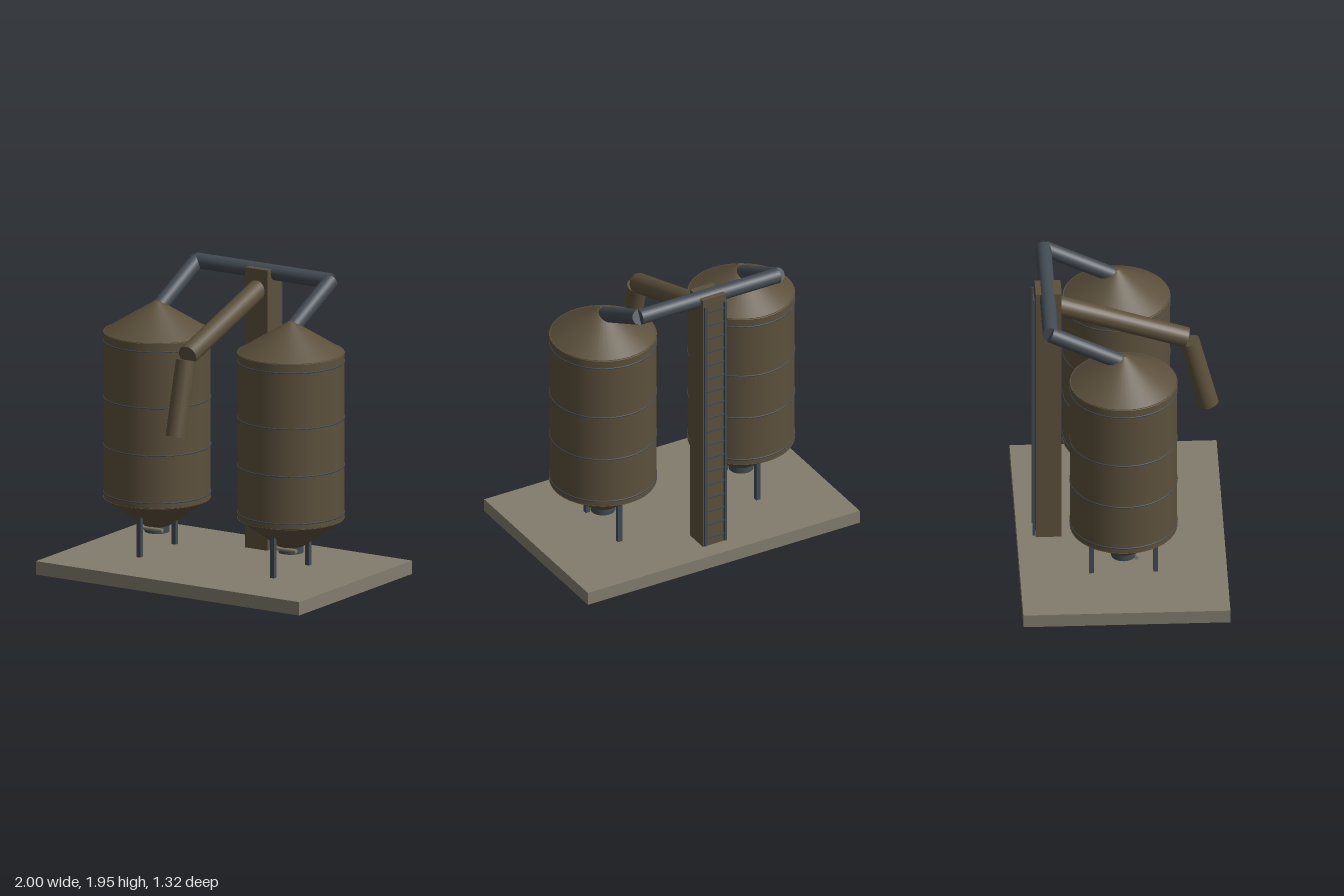
import * as THREE from 'three';

const mat = (name, color) => {
  const m = new THREE.MeshStandardMaterial({ color });
  m.name = name;
  return m;
};

export function createModel() {
  const root = new THREE.Group();
  root.name = 'twinSilos';
  const brown = mat('weathered brown', 0x5c503c);
  const steel = mat('dark steel', 0x424a52);
  const concrete = mat('concrete grey', 0x827c6d);

  const add = (parent, name, geo, material, x = 0, y = 0, z = 0) => {
    const m = new THREE.Mesh(geo, material);
    m.name = name;
    m.position.set(x, y, z);
    parent.add(m);
    return m;
  };
  const box = (parent, name, w, h, d, material, x, y, z) =>
    add(parent, name, new THREE.BoxGeometry(w, h, d), material, x, y, z);

  // Straight capped pipe between two points
  const pipe = (parent, name, a, b, r, material) => {
    const from = new THREE.Vector3(...a), to = new THREE.Vector3(...b);
    const dir = to.clone().sub(from);
    const m = add(parent, name, new THREE.CylinderGeometry(r, r, dir.length(), 24), material);
    m.position.copy(from).addScaledVector(dir, 0.5);
    m.quaternion.setFromUnitVectors(new THREE.Vector3(0, 1, 0), dir.normalize());
    return m;
  };

  // Ground slab
  box(root, 'baseSlab', 2, 0.088, 1.32, concrete, 0, 0.044, 0);

  // Silos with their legs, outlets and feed pipes
  for (const side of [-1, 1]) {
    const silo = new THREE.Group();
    silo.name = side > 0 ? 'leftSilo' : 'rightSilo';
    silo.position.x = side * 0.508;
    root.add(silo);

    add(silo, 'tank', new THREE.CylinderGeometry(0.341, 0.341, 1.09, 48), brown, 0, 0.985, 0);
    add(silo, 'roofCone', new THREE.CylinderGeometry(0.02, 0.344, 0.2, 48), brown, 0, 1.625, 0);
    add(silo, 'hopperCone', new THREE.CylinderGeometry(0.344, 0.085, 0.185, 48), brown, 0, 0.3525, 0);
    add(silo, 'outlet', new THREE.CylinderGeometry(0.08, 0.08, 0.06, 24), steel, 0, 0.245, 0);
    pipe(silo, 'gateBar', [-0.093, 0.247, 0.08], [0.093, 0.247, 0.08], 0.013, concrete);

    // Hoops around the tank
    for (const y of [0.48, 0.79, 1.102, 1.47]) {
      add(silo, 'hoop', new THREE.TorusGeometry(0.341, 0.005, 6, 48), steel, 0, y, 0).rotation.x = Math.PI / 2;
    }
    // Legs run up into the hopper
    for (const z of [-0.205, 0.205]) box(silo, 'leg', 0.03, 0.29, 0.03, steel, 0, 0.23, z);

    pipe(silo, 'feedPipe', [0, 1.895, -0.465], [0, 1.67, 0], 0.05, steel);
    pipe(root, 'crossPipe', [0, 1.895, -0.465], [side * 0.508, 1.895, -0.465], 0.05, steel);
  }

  // Elevator tower
  box(root, 'tower', 0.17, 1.837, 0.165, brown, 0, 1.0065, -0.458);

  // Ladder on the back of the tower
  const ladder = new THREE.Group();
  ladder.name = 'ladder';
  root.add(ladder);
  for (const x of [-0.073, 0.073]) box(ladder, 'rail', 0.016, 1.78, 0.016, steel, x, 0.99, -0.553);
  for (let i = 0; i < 18; i++) {
    box(ladder, 'rung', 0.14, 0.009, 0.009, steel, 0, 0.15 + i * 0.099, -0.55);
  }

  // Discharge chute
  pipe(root, 'upperChute', [0, 1.79, -0.4], [0, 1.522, 0.425], 0.065, brown);
  pipe(root, 'lowerChute', [0, 1.495, 0.442], [0, 1.018, 0.565], 0.065, brown);

  return root;
}
